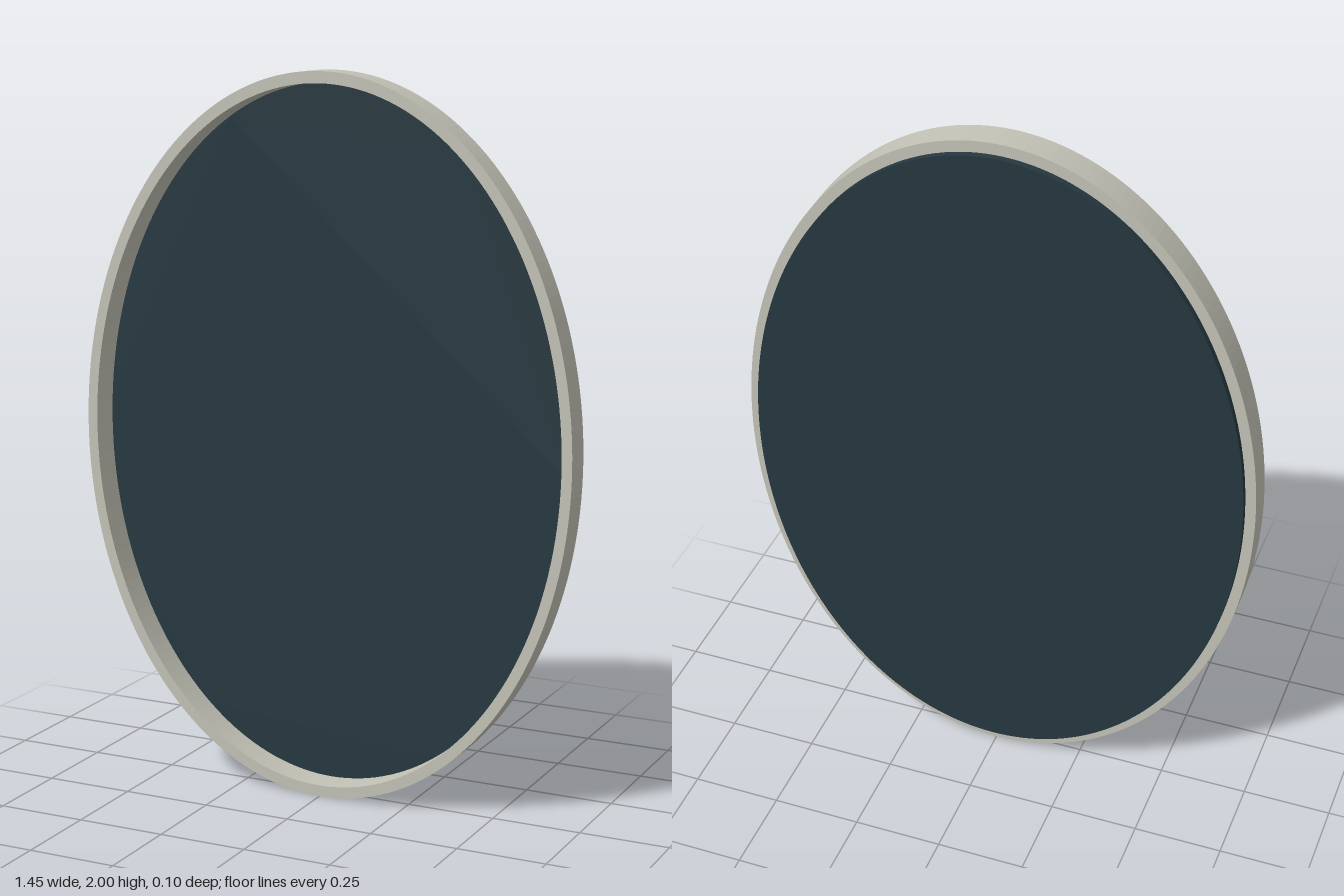
import * as THREE from 'three';

const SEGMENTS = 96;

function ellipse(Type, rx, ry) {
  return new Type().absellipse(0, 0, rx, ry, 0, Math.PI * 2, false, 0);
}

// Flat plate between two depths, centred at y = 1
function plate(name, shape, back, front, color) {
  const geometry = new THREE.ExtrudeGeometry(shape, {
    depth: front - back, bevelEnabled: false, curveSegments: SEGMENTS,
  });
  geometry.translate(0, 1, back);
  const mesh = new THREE.Mesh(geometry, new THREE.MeshStandardMaterial({ color }));
  mesh.name = name;
  return mesh;
}

export function createModel() {
  const group = new THREE.Group();
  group.name = 'ovalMirror';

  // Deep thin rim, open through the middle
  const rim = ellipse(THREE.Shape, 0.726, 1);
  rim.holes.push(ellipse(THREE.Path, 0.697, 0.968));
  group.add(plate('rim', rim, -0.032, 0.051, 0xc2c2b6));

  // Dark panel standing slightly proud behind the rim
  const panel = ellipse(THREE.Shape, 0.697, 0.968);
  group.add(plate('panel', panel, -0.051, -0.032, 0x263840));

  return group;
}
